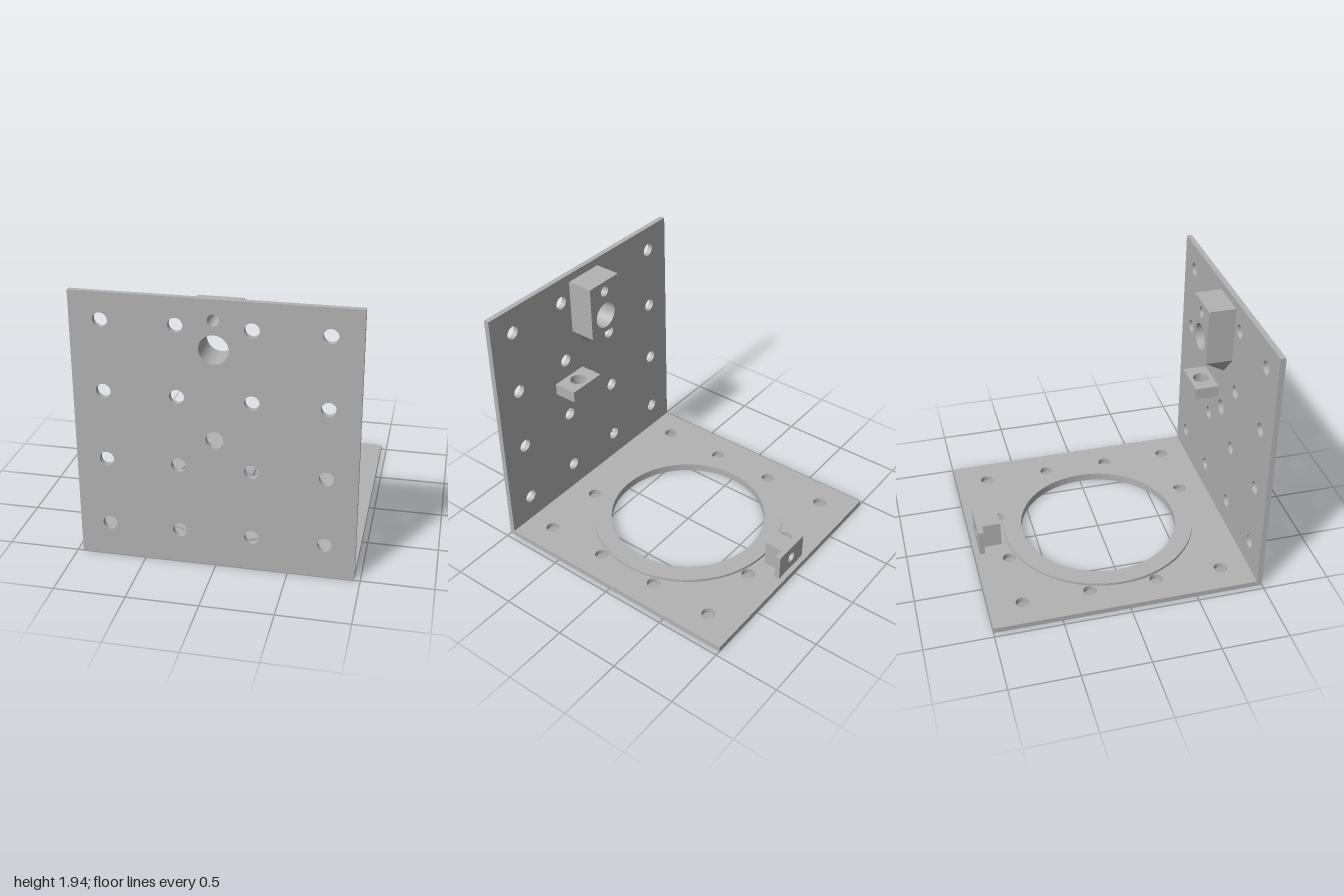
import * as THREE from 'three';
import { toCreasedNormals } from 'three/addons/utils/BufferGeometryUtils.js';

const grey = new THREE.MeshStandardMaterial({ color: 0xb2b2b2 });
grey.name = 'grey plastic';

// Closed outline from corner points, with round holes given as [x, y, radius]
function outline(points, holes = []) {
  const shape = new THREE.Shape(points.map(([x, y]) => new THREE.Vector2(x, y)));
  for (const [x, y, r] of holes) {
    shape.holes.push(new THREE.Path().absarc(x, y, r, 0, Math.PI * 2, true));
  }
  return shape;
}

const rect = (x0, x1, y0, y1) => [[x0, y0], [x1, y0], [x1, y1], [x0, y1]];

function extrude(shape, depth) {
  const geo = new THREE.ExtrudeGeometry(shape, { depth, bevelEnabled: false, curveSegments: 40 });
  return toCreasedNormals(geo, 0.5);
}

// Extruded towards +z, starting at z
const upright = (shape, z, depth) => extrude(shape, depth).translate(0, 0, z);

// Lying flat, starting at height y; the outline's y is -z
const flat = (shape, y, height) => extrude(shape, height).rotateX(-Math.PI / 2).translate(0, y, 0);

export function createModel() {
  const group = new THREE.Group();
  const add = (name, geo) => {
    const mesh = new THREE.Mesh(geo, grey);
    mesh.name = name;
    group.add(mesh);
  };
  const grid = [-0.75, -0.25, 0.25, 0.75];

  // Front wall with a full grid of screw holes and three centre holes
  const wallHoles = [[0, 1.8, 0.04], [0, 1.6, 0.1], [0, 0.96, 0.06]];
  for (const x of grid) for (const y of grid) wallHoles.push([x, y + 1, 0.05]);
  add('frontWall', upright(outline(rect(-0.96, 0.96, 0, 1.94), wallHoles), 0.96, 0.04));

  // Base plate with screw holes around the large opening (one spot is left solid)
  const baseHoles = [[0, 0, 0.6]];
  for (const x of grid) for (const z of grid) {
    const inner = Math.abs(x) < 0.5 && Math.abs(z) < 0.5;
    const solid = x === -0.25 && z === 0.75;
    if (!inner && !solid) baseHoles.push([x, -z, 0.05]);
  }
  add('basePlate', flat(outline(rect(-0.96, 0.96, -0.96, 1), baseHoles), 0, 0.04));

  // Raised ring around the opening
  const ring = new THREE.Shape().absarc(0, 0, 0.737, 0, Math.PI * 2, false);
  ring.holes.push(new THREE.Path().absarc(0, 0, 0.6, 0, Math.PI * 2, true));
  add('raisedRing', flat(ring, 0.04, 0.02));

  // Upper holder block, bored through in line with the wall holes
  const bores = [[0, 1.8, 0.04], [0, 1.6, 0.1]];
  add('holderBlock', upright(outline(rect(-0.155, 0.155, 1.46, 1.88), bores), 0.76, 0.2));

  // Pointed support under the holder, tapering to the wall
  const a = [-0.155, 1.46, 0.96], b = [-0.155, 1.46, 0.76];
  const c = [0.155, 1.46, 0.76], d = [0.155, 1.46, 0.96], tip = [0, 1.285, 0.96];
  const support = new THREE.BufferGeometry();
  support.setAttribute('position', new THREE.Float32BufferAttribute(
    [a, b, tip, b, c, tip, c, d, tip].flat(), 3));
  // Wind every face outwards from the middle of the support
  const pos = support.attributes.position, mid = new THREE.Vector3(0, 1.42, 0.9);
  for (let i = 0; i < pos.count; i += 3) {
    const [p, q, r] = [0, 1, 2].map(k => new THREE.Vector3().fromBufferAttribute(pos, i + k));
    const normal = new THREE.Triangle(p, q, r).getNormal(new THREE.Vector3());
    if (normal.dot(p.clone().sub(mid)) < 0) {
      pos.setXYZ(i, q.x, q.y, q.z);
      pos.setXYZ(i + 1, p.x, p.y, p.z);
    }
  }
  support.computeVertexNormals();
  add('holderSupport', support);

  // Small shelf with a vertical hole
  add('holedShelf', flat(outline(rect(0.075, 0.375, -0.96, -0.78), [[0.225, -0.87, 0.06]]), 1.01, 0.09));

  // T-shaped post at the back: wide plate and narrower stem, bored through
  const bore = [[0, 0.14, 0.04]];
  add('postPlate', upright(outline(rect(-0.155, 0.155, 0.04, 0.24), bore), -0.96, 0.04));
  add('postStem', upright(outline(rect(-0.078, 0.078, 0.04, 0.24), bore), -0.92, 0.14));

  return group;
}
